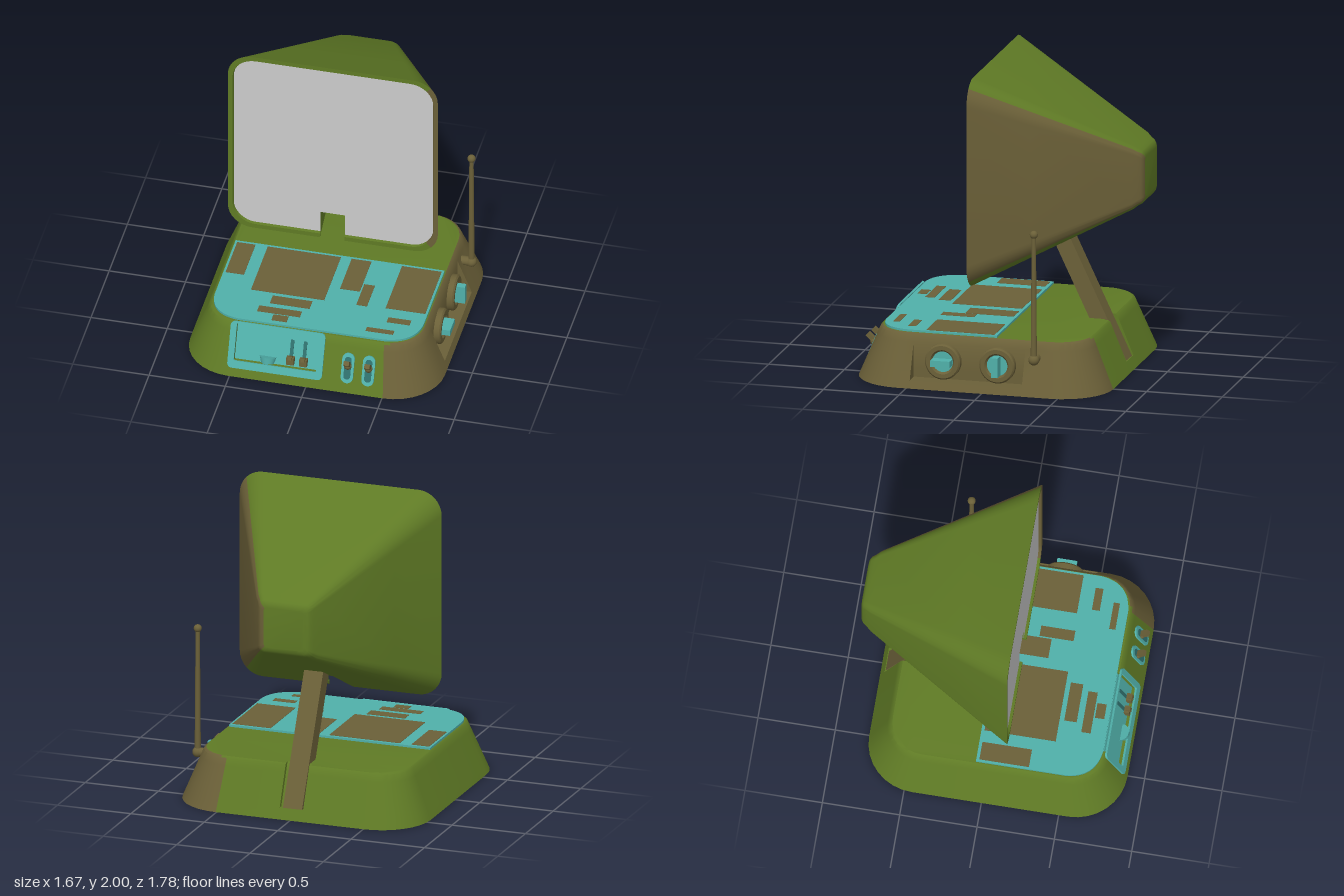
import * as THREE from 'three';
import { toCreasedNormals } from 'three/addons/utils/BufferGeometryUtils.js';

const mat = (color, side = THREE.FrontSide) => new THREE.MeshStandardMaterial({ color, side });
const green = mat(0x5f7a25), brown = mat(0x6b6038), cyan = mat(0x50b0aa), darkCyan = mat(0x2f6f6c);
const green2 = mat(0x5f7a25, THREE.DoubleSide), brown2 = mat(0x6b6038, THREE.DoubleSide);
const grey = mat(0xcccccc, THREE.DoubleSide);

function add(parent, name, geometry, material, x = 0, y = 0, z = 0) {
  const mesh = new THREE.Mesh(geometry, material);
  mesh.name = name;
  mesh.position.set(x, y, z);
  parent.add(mesh);
  return mesh;
}
const box = (w, h, d) => new THREE.BoxGeometry(w, h, d);

// Rounded rectangle, counter-clockwise. cuts[k] = [from, to, inset] notches a side
// (0 top, 1 left, 2 bottom, 3 right).
function ring(hx, hy, r, cuts = {}, seg = 8) {
  const pts = [];
  for (let k = 0; k < 4; k++) {
    const cx = (k === 0 || k === 3 ? 1 : -1) * (hx - r), cy = (k < 2 ? 1 : -1) * (hy - r);
    for (let i = 0; i <= seg; i++) {
      const a = (k + i / seg) * Math.PI / 2;
      pts.push(new THREE.Vector2(cx + r * Math.cos(a), cy + r * Math.sin(a)));
    }
    if (!cuts[k]) continue;
    const [from, to, d] = cuts[k], s = k === 0 || k === 3 ? 1 : -1;
    for (const [t, inset] of [[from, 0], [from, d], [to, d], [to, 0]])
      pts.push(k % 2 ? new THREE.Vector2(s * (hx - inset), t) : new THREE.Vector2(t, s * (hy - inset)));
  }
  return pts;
}

// Skin over rings [points, height]; pick(x, y, z) gives a material index, or -1 for a gap
function loft(rings, pick, capEnd) {
  const n = rings[0][0].length, pos = [], lists = [[], []];
  rings.forEach(([pts, w]) => pts.forEach(p => pos.push(p.x, p.y, w)));
  for (let i = 0; i < rings.length - 1; i++) for (let j = 0; j < n; j++) {
    const a = i * n + j, b = i * n + (j + 1) % n, c = b + n, d = a + n;
    const mid = [0, 1, 2].map(k => (pos[a * 3 + k] + pos[b * 3 + k] + pos[c * 3 + k] + pos[d * 3 + k]) / 4);
    const m = pick(...mid);
    if (m >= 0) lists[m].push(a, b, c, a, c, d);
  }
  const cap = (i, flip) => THREE.ShapeUtils.triangulateShape(rings[i][0].slice(), []).forEach(([a, b, c]) =>
    lists[0].push(...(flip ? [a, c, b] : [a, b, c]).map(v => v + i * n)));
  cap(0, true);
  if (capEnd) cap(rings.length - 1, false);
  const g = new THREE.BufferGeometry();
  g.setAttribute('position', new THREE.Float32BufferAttribute(pos, 3));
  g.setIndex([...lists[0], ...lists[1]]);
  g.addGroup(0, lists[0].length, 0);
  g.addGroup(lists[0].length, lists[1].length, 1);
  return toCreasedNormals(g, 0.6);
}

const plate = (points, depth, hole) => {
  const s = new THREE.Shape(points);
  if (hole) s.holes.push(new THREE.Path(hole));
  return new THREE.ExtrudeGeometry(s, { depth, bevelEnabled: false });
};

function buildBase(model) {
  // Tapered case with an arm groove, a front pocket and a side recess: [y, groove, pocket, recess]
  const levels = [[0, 0, 0, 0], [0.05, 0, 0, 0], [0.05, 0, 0, 1], [0.07, 0, 0, 1], [0.07, 1, 0, 1], [0.1, 1, 0, 1],
    [0.1, 1, 1, 1], [0.28, 1, 1, 1], [0.28, 1, 1, 0], [0.325, 1, 1, 0], [0.335, 1, 1, 0, 0.008]];
  const rings = levels.map(([y, groove, pocket, recess, trim = 0]) => {
    const t = y / 0.335, hx = 0.835 - 0.135 * t - trim, hz = 0.835 - 0.14 * t - trim;
    return [ring(hx, hz, 0.33 - 0.11 * t, {
      0: [0.08, -0.085, groove * 0.03],
      2: [-0.48, 0.06, pocket * 0.03],
      3: [-0.425, 0.315, recess * Math.max(0, hx - 0.72)],
    }), y];
  });
  const g = loft(rings, x => (x > 0.5 ? 1 : 0), true);
  g.rotateX(-Math.PI / 2);
  add(model, 'base', g, [green, brown], 0, 0, 0.055);

  // Top cover: rounded at the front, square at the back, with camouflage patches
  const cover = new THREE.Shape();
  cover.moveTo(-0.685, 0.06).lineTo(-0.685, -0.52).quadraticCurveTo(-0.67, -0.71, -0.48, -0.73);
  cover.lineTo(0.48, -0.73).quadraticCurveTo(0.67, -0.71, 0.685, -0.52).lineTo(0.685, 0.06);
  const cg = new THREE.ExtrudeGeometry(cover, { depth: 0.014, bevelEnabled: false });
  cg.rotateX(-Math.PI / 2);
  add(model, 'topCover', cg, cyan, 0, 0.335, 0);
  const patches = [[-0.67, -0.55, -0.04, 0.28], [-0.47, 0.01, -0.04, 0.42], [0.08, 0.21, -0.04, 0.28],
    [0.22, 0.29, 0.2, 0.42], [0.41, 0.67, -0.04, 0.41], [-0.32, -0.06, 0.45, 0.53], [-0.38, -0.1, 0.57, 0.63],
    [-0.27, -0.17, 0.64, 0.7], [0.45, 0.6, 0.5, 0.55], [0.34, 0.52, 0.63, 0.67]];
  for (const [x0, x1, z0, z1] of patches)
    add(model, 'coverPatch', box(x1 - x0, 0.003, z1 - z0), brown, (x0 + x1) / 2, 0.35, (z0 + z1) / 2);
}

function buildControls(model) {
  // Local y runs up the sloping front, local z points out of it
  const front = new THREE.Group(), k = 1.084;
  front.name = 'frontControls';
  front.position.z = 0.89;
  front.rotation.x = -Math.atan(0.14 / 0.335);
  model.add(front);
  const shift = (pts, x, y) => pts.map(p => new THREE.Vector2(p.x + x, p.y + y));
  add(front, 'panelFrame', plate(shift(ring(0.31, 0.155, 0.03), -0.21, 0.215),
    0.014, shift(ring(0.27, 0.124, 0.01), -0.21, 0.234)), cyan, 0, 0, -0.004);
  add(front, 'panelBack', box(0.54, 0.25, 0.006), cyan, -0.21, 0.1 * k + 0.125, -0.024);

  // Slider switches in the pocket
  for (const x of [-0.115, -0.03]) {
    add(front, 'sliderSlot', box(0.022, 0.12, 0.006), darkCyan, x, 0.215 * k, -0.019);
    const knob = add(front, 'sliderKnob', box(0.05, 0.05, 0.035), brown, x, 0.147 * k, -0.005);
    knob.rotation.x = 0.3;
    add(front, 'sliderStem', box(0.026, 0.026, 0.03), brown, x, 0.165 * k, 0.012);
  }
  // Half-round cup
  const cup = new THREE.CylinderGeometry(0.055, 0.04, 0.045, 20, 1, false, -Math.PI / 2, Math.PI);
  add(front, 'cup', cup, cyan, -0.265, 0.128 * k, -0.022);

  // Toggle switches
  for (const x of [0.262, 0.398]) {
    add(front, 'togglePlate', plate(ring(0.04, 0.1, 0.039), 0.012), cyan, x, 0.155 * k, 0);
    add(front, 'toggleSlot', plate(ring(0.022, 0.075, 0.021), 0.003), darkCyan, x, 0.155 * k, 0.0115);
    const lever = add(front, 'toggleLever', box(0.036, 0.03, 0.075), brown, x, 0.185 * k, 0.035);
    lever.rotation.x = -0.35;
    add(front, 'toggleBoss', new THREE.SphereGeometry(0.026, 14, 10), brown, x, 0.17 * k, 0.012);
  }

  // Side dials: one handle lies flat, the other stands upright
  [[0.28, 0], [-0.08, Math.PI / 2]].forEach(([z, turn]) => {
    const dial = new THREE.Group();
    dial.name = 'dial';
    dial.position.set(0.72, 0.17, z);
    dial.rotation.x = turn;
    model.add(dial);
    const profile = [[0.068, 0], [0.117, 0], [0.117, 0.035], [0.107, 0.045], [0.08, 0.045], [0.068, 0.03], [0.068, 0]];
    const rim = toCreasedNormals(new THREE.LatheGeometry(profile.map(p => new THREE.Vector2(...p)), 32), 0.6);
    rim.rotateZ(-Math.PI / 2);
    add(dial, 'dialRim', rim, brown);
    const face = new THREE.CylinderGeometry(0.07, 0.07, 0.03, 32);
    face.rotateZ(-Math.PI / 2);
    add(dial, 'dialFace', face, cyan, 0.015);
    add(dial, 'dialHandle', box(0.07, 0.042, 0.128), cyan, 0.062);
  });
}

function buildAntenna(model) {
  const x = 0.795, z = -0.335;
  const peg = new THREE.CylinderGeometry(0.03, 0.03, 0.09, 18);
  peg.rotateZ(Math.PI / 2);
  add(model, 'antennaPeg', peg, brown, 0.755, 0.237, z);
  add(model, 'antennaJoint', new THREE.SphereGeometry(0.035, 20, 14), brown, x, 0.237, z);
  add(model, 'antennaRod', new THREE.CylinderGeometry(0.014, 0.02, 0.8, 16), brown, x, 0.66, z);
  add(model, 'antennaTip', new THREE.SphereGeometry(0.026, 18, 12), brown, x, 1.065, z);
}

function buildDish(model) {
  // Flared housing; a slot is left open in the bottom wall for the arm
  const cy = 1.315, slot = [-0.085, 0.075];
  const half = z => 0.685 - 0.495 * (0.14 - z);
  const sections = [[-0.89, 0.135], [-0.886, 0.157], [-0.873, 0.174], [-0.85, 0.187], [-0.82, half(-0.82)],
    [-0.23, half(-0.23)], [0.14, 0.685], [0.14, 0.655], [0.115, 0.65]];
  const rings = sections.map(([z, h]) => [ring(h + 0.003, h, h * 0.23, { 2: [...slot, 0] }), z]);
  const pick = (x, y, z) => (Math.abs(x) < 0.02 && y < 0 && z > -0.23 ? -1 : x > Math.abs(y) ? 1 : 0);
  add(model, 'dishHousing', loft(rings, pick, false), [green2, brown2], 0, cy, 0);

  // Screen with the same slot
  const screen = new THREE.Shape(ring(0.653, 0.65, 0.14, { 2: [...slot, 0.155] }));
  add(model, 'dishScreen', new THREE.ShapeGeometry(screen), grey, 0, cy, 0.122);

  // Slot lining
  const side = new THREE.Shape();
  side.moveTo(-0.14, 0.63).lineTo(0.23, 0.813).lineTo(0.23, 0.82).lineTo(-0.122, 0.82).lineTo(-0.122, 0.655).lineTo(-0.14, 0.655);
  for (const x of slot) {
    const wall = new THREE.ShapeGeometry(side);
    wall.rotateY(Math.PI / 2);
    add(model, 'slotWall', wall, green2, x);
  }
  add(model, 'slotCeiling', box(0.16, 0.004, 0.352), green, -0.005, 0.822, -0.054);

  // Leaning arm, in line with the back of the base
  const arm = box(0.13, 0.82, 0.12), p = arm.attributes.position;
  arm.translate(-0.005, 0.48, -0.56);
  for (let i = 0; i < p.count; i++) p.setZ(i, p.getZ(i) + 0.475 * (p.getY(i) - 0.335));
  arm.computeVertexNormals();
  add(model, 'arm', arm, brown);
}

export function createModel() {
  const model = new THREE.Group();
  model.name = 'fieldDishStation';
  buildBase(model);
  buildControls(model);
  buildAntenna(model);
  buildDish(model);
  return model;
}
